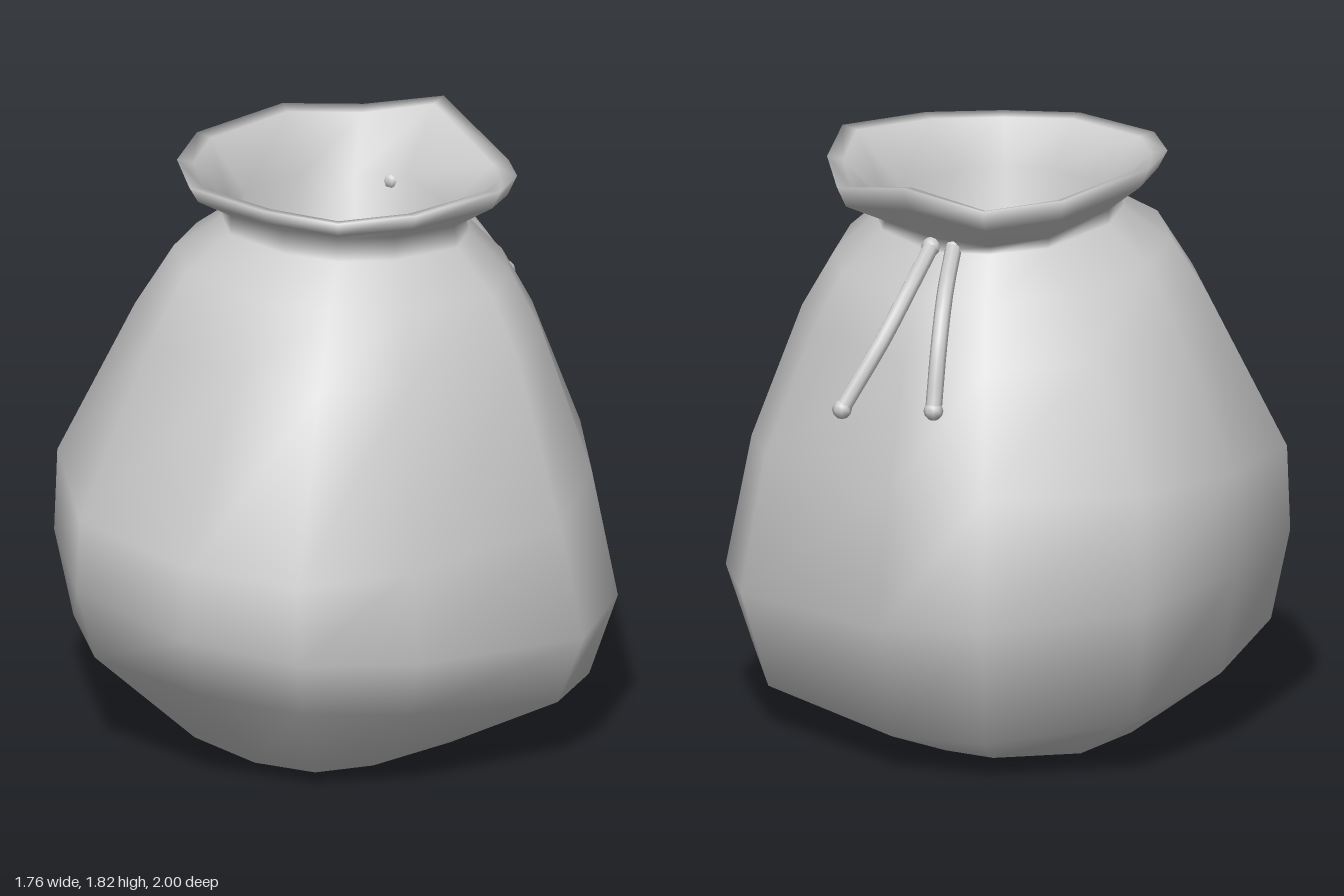
import * as THREE from 'three';

// Outlines seen from above, counter-clockwise from the front, as [x, z] scaled to +-1
const BODY = [[-0.08, 1], [0.34, 0.88], [0.9, 0.52], [1, 0.12], [0.93, -0.26], [0.42, -0.85],
  [0.05, -1], [-0.52, -0.9], [-0.83, -0.47], [-1, 0.03], [-0.89, 0.54], [-0.48, 0.88]];
const MOUTH = [[0.05, 1], [0.48, 0.87], [0.93, 0.46], [1, -0.02], [0.93, -0.39], [0.54, -0.9],
  [0.09, -1], [-0.4, -0.9], [-0.9, -0.4], [-1, -0.03], [-0.9, 0.44], [-0.42, 0.86]];
// Wavy height of the lip around the mouth
const WAVE = [0, 0.01, 0.02, -0.02, -0.06, 0.02, -0.04, -0.02, 0, 0, 0, 0.01];

// Rings from the base, up the outside, over the lip and down inside:
// [mouth shape 0..1, wave, left x, right x, front z, back z, then y at left, right, front, back]
const RINGS = [
  [0, 0, 0.48, 0.41, 0.60, 0.60, 0.015, 0.01, 0.015, 0.005],
  [0, 0, 0.82, 0.79, 0.92, 0.87, 0.30, 0.16, 0.33, 0.12],
  [0, 0, 0.88, 0.88, 0.975, 1.0, 0.60, 0.45, 0.50, 0.50],
  [0, 0, 0.87, 0.80, 1.0, 0.95, 0.85, 0.85, 0.80, 0.93],
  [0.4, 0, 0.63, 0.64, 0.73, 0.73, 1.33, 1.28, 1.35, 1.29],
  [0.7, 0, 0.51, 0.54, 0.57, 0.61, 1.53, 1.47, 1.54, 1.46],
  [1, 0, 0.36, 0.41, 0.38, 0.47, 1.64, 1.61, 1.63, 1.58],
  [1, 0.3, 0.36, 0.40, 0.36, 0.47, 1.69, 1.66, 1.70, 1.62],
  [1, 0.9, 0.47, 0.53, 0.46, 0.60, 1.76, 1.74, 1.755, 1.73],
  [1, 1, 0.50, 0.56, 0.485, 0.63, 1.81, 1.80, 1.81, 1.81],
  [1, 1, 0.45, 0.51, 0.435, 0.58, 1.80, 1.79, 1.80, 1.80],
  [1, 0.3, 0.33, 0.37, 0.33, 0.43, 1.66, 1.64, 1.66, 1.62],
  [1, 0, 0.33, 0.37, 0.33, 0.42, 1.42, 1.42, 1.42, 1.40],
  [1, 0, 0.20, 0.24, 0.20, 0.26, 1.27, 1.27, 1.27, 1.27],
];

// Closed skin through all rings, capped at the base and at the bottom of the hollow
function sackGeometry() {
  const n = BODY.length, pos = [], index = [];
  for (const [shape, wave, left, right, front, back, yl, yr, yf, yb] of RINGS) {
    for (let i = 0; i < n; i++) {
      const x = THREE.MathUtils.lerp(BODY[i][0], MOUTH[i][0], shape);
      const z = THREE.MathUtils.lerp(BODY[i][1], MOUTH[i][1], shape);
      const y = (yl + yr + yf + yb) / 4 + (yr - yl) / 2 * x + (yf - yb) / 2 * z + wave * WAVE[i];
      pos.push(x * (x < 0 ? left : right), Math.max(y, 0), z * (z < 0 ? back : front));
    }
  }
  const last = (RINGS.length - 1) * n, base = last + n, hollow = base + 1;
  pos.push(0, 0, 0, 0.02, 1.24, -0.03);
  for (let i = 0; i < n; i++) {
    const j = (i + 1) % n;
    for (let r = 0; r < last; r += n) {
      index.push(r + i, r + j, r + n + j, r + i, r + n + j, r + n + i);
    }
    index.push(base, j, i, last + i, last + j, hollow);
  }
  const g = new THREE.BufferGeometry();
  g.setAttribute('position', new THREE.Float32BufferAttribute(pos, 3));
  g.setIndex(index);
  g.computeVertexNormals();
  return g;
}

export function createModel() {
  const group = new THREE.Group();
  const cloth = new THREE.MeshStandardMaterial({ color: 0xcccccc });
  cloth.name = 'grey cloth';
  const add = (name, geometry) => {
    const mesh = new THREE.Mesh(geometry, cloth);
    mesh.name = name;
    group.add(mesh);
    return mesh;
  };

  add('sack', sackGeometry());

  // Two loose cord ends hanging from the back of the neck
  const cords = {
    outerCord: [[0.22, 1.6, -0.42], [0.28, 1.51, -0.59], [0.36, 1.37, -0.7], [0.485, 1.165, -0.77]],
    innerCord: [[0.15, 1.6, -0.42], [0.17, 1.5, -0.61], [0.185, 1.36, -0.72], [0.2, 1.165, -0.78]],
  };
  for (const [name, points] of Object.entries(cords)) {
    const path = new THREE.CatmullRomCurve3(points.map((p) => new THREE.Vector3(...p)));
    add(name, new THREE.TubeGeometry(path, 8, 0.026, 8));
    // Slightly swollen ends
    for (const t of [0, 1]) {
      const tip = add(name + (t ? 'Tip' : 'Root'), new THREE.SphereGeometry(0.031, 8, 6));
      tip.position.copy(path.getPoint(t));
    }
  }
  return group;
}
